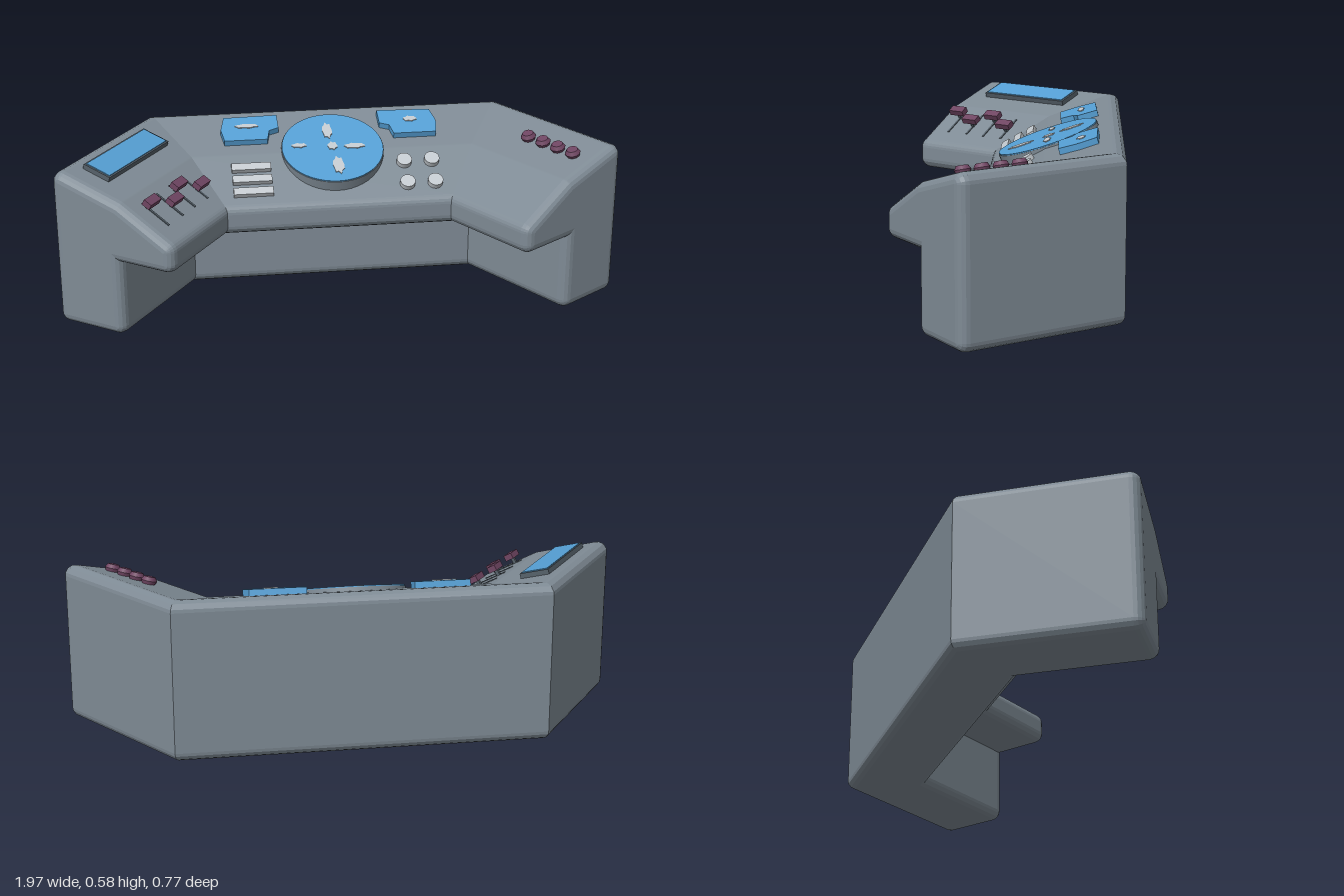
import * as THREE from 'three';

const mat = (name, color) => {
  const m = new THREE.MeshStandardMaterial({ color });
  m.name = name;
  return m;
};

const ANGLE = THREE.MathUtils.degToRad(55.5); // wing turn
const C = Math.cos(ANGLE), S = Math.sin(ANGLE), MITRE = Math.tan(ANGLE / 2);
const CORNER_X = 0.65, BACK_Z = -0.39, WING = 0.62, R = 0.035;

// Console cross-section: [depth from the back, height], with a knee recess
const PROFILE = [[0, 0], [0, 0.58], [0.27, 0.5], [0.48, 0.38], [0.48, 0.28], [0.27, 0.28], [0.27, 0]];
const SLOPE_BACK = 0.08 / 0.27, SLOPE_FRONT = 0.12 / 0.21;
const deckY = d => d < 0.27 ? 0.58 - SLOPE_BACK * d : 0.5 - SLOPE_FRONT * (d - 0.27);
const deckTilt = d => Math.atan(d < 0.27 ? SLOPE_BACK : SLOPE_FRONT);

// Cross-section shrunk by inset, with rounded outer corners
function section(inset) {
  const pts = PROFILE.map(p => new THREE.Vector2(...p)), n = pts.length, out = [];
  const normal = i => {
    const e = pts[(i + 1) % n].clone().sub(pts[i]).normalize();
    return new THREE.Vector2(e.y, -e.x);
  };
  pts.forEach((p, i) => {
    const n1 = normal((i + n - 1) % n), n2 = normal(i);
    const mid = n1.clone().add(n2).divideScalar(1 + n1.dot(n2));
    if (n1.cross(n2) > 0) {
      out.push(p.clone().addScaledVector(mid, inset));
      return;
    }
    const centre = p.clone().addScaledVector(mid, R);
    for (let k = 0; k <= 4; k++) {
      const dir = n1.clone().lerp(n2, k / 4).normalize();
      out.push(centre.clone().addScaledVector(dir, inset - R));
    }
  });
  return out;
}

// Sweep of the cross-section along wing, centre and wing with mitred corners
function consoleGeometry() {
  const wingStation = (side, t) => {
    const a = t / 4 * Math.PI / 2;
    const u = WING - R + R * Math.sin(a);
    return section(0.98 * R * (1 - Math.cos(a))).map(p => [
      side * (CORNER_X + C * u - S * p.x), p.y, BACK_Z + S * u + C * p.x]);
  };
  const mitreStation = side => section(0).map(p => [side * (CORNER_X - MITRE * p.x), p.y, BACK_Z + p.x]);
  const rings = [];
  for (let t = 4; t >= 0; t--) rings.push(wingStation(1, t));
  rings.push(mitreStation(1), mitreStation(-1));
  for (let t = 0; t <= 4; t++) rings.push(wingStation(-1, t));

  const pos = [], n = rings[0].length;
  const tri = (a, b, c) => pos.push(...a, ...b, ...c);
  for (let i = 0; i < rings.length - 1; i++) {
    for (let j = 0; j < n; j++) {
      const k = (j + 1) % n;
      tri(rings[i][j], rings[i + 1][j], rings[i][k]);
      tri(rings[i][k], rings[i + 1][j], rings[i + 1][k]);
    }
  }
  // Flat end caps
  const flat = section(0.98 * R), last = rings[rings.length - 1];
  for (const [a, b, c] of THREE.ShapeUtils.triangulateShape(flat, [])) {
    const ccw = flat[b].clone().sub(flat[a]).cross(flat[c].clone().sub(flat[a])) > 0;
    const [p, q] = ccw ? [c, b] : [b, c];
    tri(rings[0][a], rings[0][p], rings[0][q]);
    tri(last[a], last[q], last[p]);
  }
  const g = new THREE.BufferGeometry();
  g.setAttribute('position', new THREE.Float32BufferAttribute(pos, 3));
  g.computeVertexNormals();
  return g;
}

// Flat plate from [x, z] points, rising from y = 0
function plate(points, height) {
  const shape = new THREE.Shape(points.map(([x, z]) => new THREE.Vector2(x, -z)));
  return new THREE.ExtrudeGeometry(shape, { depth: height, bevelEnabled: false }).rotateX(-Math.PI / 2);
}

// Irregular thin display mark
function blob(w, l) {
  const pts = [];
  for (let i = 0; i < 14; i++) {
    const a = i / 14 * Math.PI * 2, r = 0.5 * (1 + 0.16 * Math.sin(i * 2.7));
    pts.push([Math.cos(a) * r * w, Math.sin(a) * r * l]);
  }
  return plate(pts, 0.003);
}

export function createModel() {
  const grey = mat('console grey', 0x7f8b95);
  const blue = mat('screen blue', 0x559fd4);
  const pale = mat('pale grey', 0xc3c9ce);
  const plum = mat('plum', 0x6f4562);
  const dark = mat('dark trim', 0x56616a);

  const model = new THREE.Group();
  model.name = 'controlConsole';
  const add = (parent, name, geo, material, x = 0, y = 0, z = 0) => {
    const m = new THREE.Mesh(geo, material);
    m.name = name;
    m.position.set(x, y, z);
    parent.add(m);
    return m;
  };
  add(model, 'consoleBody', consoleGeometry(), grey);

  // Frames whose local z is the depth from the back edge
  const frame = (name, x, turn) => {
    const g = new THREE.Group();
    g.name = name;
    g.position.set(x, 0, BACK_Z);
    g.rotation.y = turn;
    model.add(g);
    return g;
  };
  const centre = frame('centreControls', 0, 0);
  const leftWing = frame('leftWingControls', CORNER_X, -ANGLE);
  const rightWing = frame('rightWingControls', -CORNER_X, ANGLE);

  // Group lying on the sloped deck
  const onDeck = (parent, name, x, d) => {
    const g = new THREE.Group();
    g.name = name;
    g.position.set(x, deckY(d), d);
    g.rotation.x = deckTilt(d);
    parent.add(g);
    return g;
  };

  // Large round display
  const round = new THREE.Group();
  round.name = 'roundDisplay';
  round.position.set(0, 0.508, 0.265);
  round.rotation.x = 0.33;
  centre.add(round);
  add(round, 'roundHousing', new THREE.CylinderGeometry(0.185, 0.185, 0.07, 48), grey, 0, -0.035, 0);
  add(round, 'roundScreen', new THREE.CylinderGeometry(0.183, 0.183, 0.004, 48), blue, 0, 0.002, 0);
  [[-0.01, -0.09, 0.035, 0.08], [-0.12, -0.015, 0.055, 0.022], [0, -0.005, 0.035, 0.04],
    [0.08, 0, 0.075, 0.026], [0.01, 0.1, 0.04, 0.085]].forEach(([x, z, w, l]) =>
    add(round, 'displayMark', blob(w, l), pale, x, 0.004, z));

  // Notched screens either side of the round display
  const notched = [[0.185, -0.07], [0.38, -0.065], [0.395, 0.005], [0.385, 0.07],
    [0.23, 0.07], [0.22, 0.02], [0.185, 0.005]];
  for (const side of [-1, 1]) {
    const g = onDeck(centre, side > 0 ? 'leftScreen' : 'rightScreen', 0, 0.15);
    add(g, 'notchedScreen', plate(notched.map(([x, z]) => [side * x, z]), 0.022), blue);
    add(g, 'screenMark', side > 0 ? blob(0.05, 0.028) : blob(0.085, 0.022), pale, side * 0.3, 0.022, -0.01);
  }

  // Bar keys and round buttons
  for (const d of [0.328, 0.375, 0.422]) {
    const g = onDeck(centre, 'barKey', -0.3, d);
    add(g, 'bar', new THREE.BoxGeometry(0.14, 0.02, 0.03), pale, 0, 0.008, 0);
  }
  for (const x of [0.25, 0.35]) for (const d of [0.33, 0.415]) {
    const g = onDeck(centre, 'roundButton', x, d);
    add(g, 'button', new THREE.CylinderGeometry(0.027, 0.027, 0.024, 20), pale, 0, 0.008, 0);
  }

  // Long screen on the right wing
  const long = onDeck(rightWing, 'longScreen', -0.333, 0.121);
  add(long, 'longFrame', new THREE.BoxGeometry(0.375, 0.026, 0.108), dark, 0, 0.005, 0);
  add(long, 'longGlass', new THREE.BoxGeometry(0.36, 0.004, 0.096), blue, 0, 0.019, 0);

  // Sliding levers
  for (const [u, d] of [[0.27, 0.371], [0.354, 0.332], [0.435, 0.366], [0.525, 0.331]]) {
    const slot = onDeck(rightWing, 'leverSlot', -u, 0.36);
    add(slot, 'slot', new THREE.BoxGeometry(0.008, 0.004, 0.12), dark, 0, 0.001, 0);
    const lever = onDeck(rightWing, 'lever', -u, d);
    add(lever, 'stem', new THREE.BoxGeometry(0.012, 0.03, 0.012), dark, 0, 0.012, 0);
    add(lever, 'handle', new THREE.BoxGeometry(0.065, 0.022, 0.032), plum, 0, 0.033, 0);
  }

  // Row of knobs on the left wing
  for (let i = 0; i < 4; i++) {
    const knob = onDeck(leftWing, 'knob', 0.31 + i * 0.07, 0.148);
    add(knob, 'knobCap', new THREE.CylinderGeometry(0.02, 0.028, 0.014, 10), plum, 0, 0.019, 0);
    add(knob, 'knobBase', new THREE.CylinderGeometry(0.028, 0.022, 0.014, 10), plum, 0, 0.005, 0);
  }
  return model;
}
